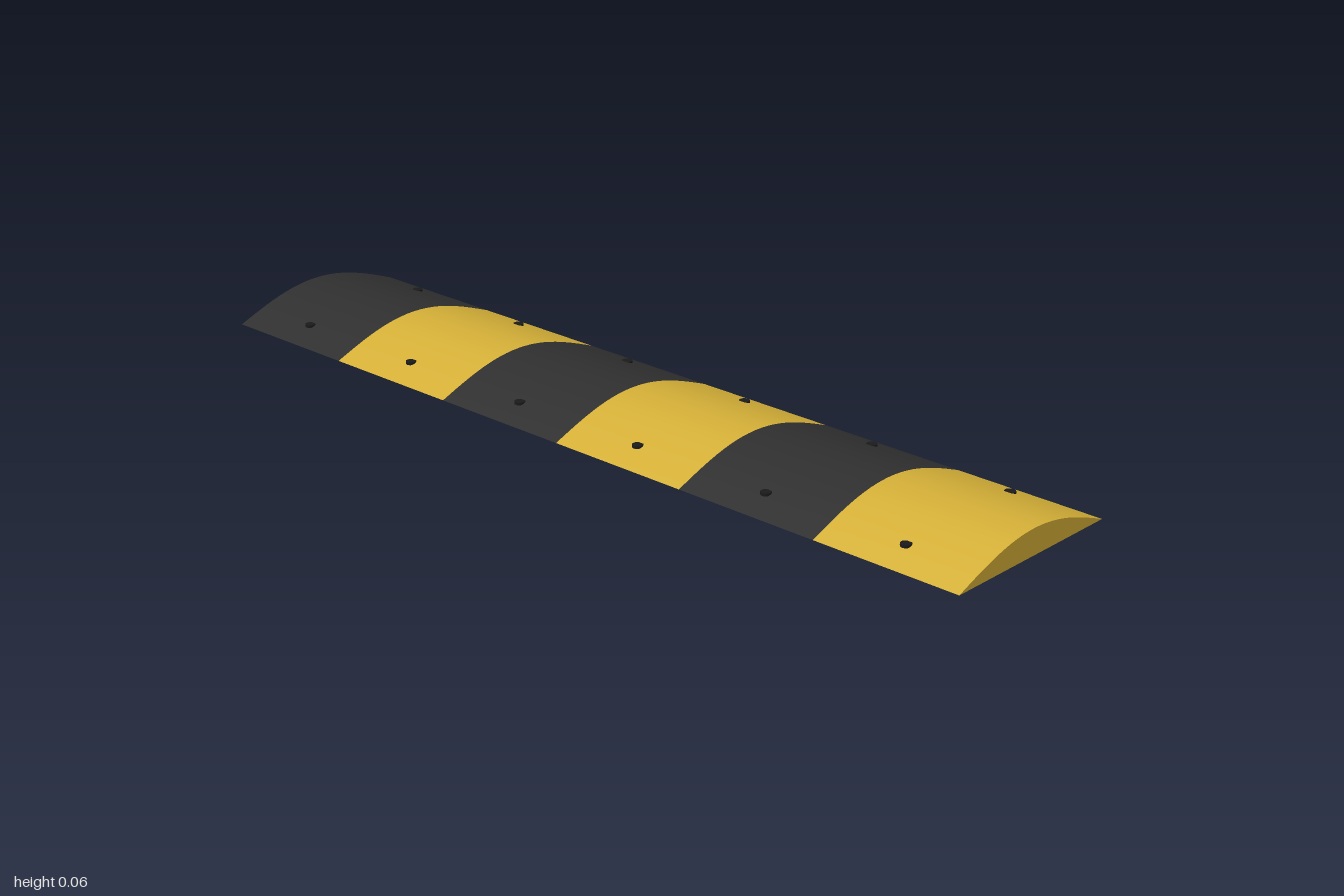
import * as THREE from 'three';
import { toCreasedNormals } from 'three/addons/utils/BufferGeometryUtils.js';

export function createModel() {
  const model = new THREE.Group();
  model.name = 'speedBump';

  const material = (name, color) => {
    const m = new THREE.MeshStandardMaterial({ color });
    m.name = name;
    return m;
  };
  const yellow = material('yellow rubber', 0xd4af37);
  const black = material('black rubber', 0x2f2f2f);
  const boltDark = material('dark bolt', 0x1a1a1a);

  const halfDepth = 0.222, height = 0.056, count = 6, length = 2 / count;

  // Arched cross-section: a half cosine wave on a flat base
  const profile = [];
  const steps = 24;
  for (let i = 0; i <= steps; i++) {
    const t = 1 - (2 * i) / steps;
    profile.push(new THREE.Vector2(t * halfDepth, height * Math.cos((t * Math.PI) / 2)));
  }
  const extruded = new THREE.ExtrudeGeometry(new THREE.Shape(profile), {
    depth: length, bevelEnabled: false,
  });
  extruded.translate(0, 0, -length / 2).rotateY(Math.PI / 2);
  const segmentGeometry = toCreasedNormals(extruded, 0.4);
  segmentGeometry.clearGroups();

  const boltGeometry = new THREE.CylinderGeometry(0.0115, 0.0115, 0.006, 12);

  // Alternating segments, each with a bolt near the front and back edges
  for (let i = 0; i < count; i++) {
    const x = -1 + length * (i + 0.5);
    const segment = new THREE.Mesh(segmentGeometry, i % 2 ? yellow : black);
    segment.name = `segment${i + 1}`;
    segment.position.x = x;
    model.add(segment);

    for (const side of [1, -1]) {
      const bolt = new THREE.Mesh(boltGeometry, boltDark);
      bolt.name = side > 0 ? `frontBolt${i + 1}` : `backBolt${i + 1}`;
      bolt.position.set(x, 0.024, side * 0.16);
      model.add(bolt);
    }
  }
  return model;
}
